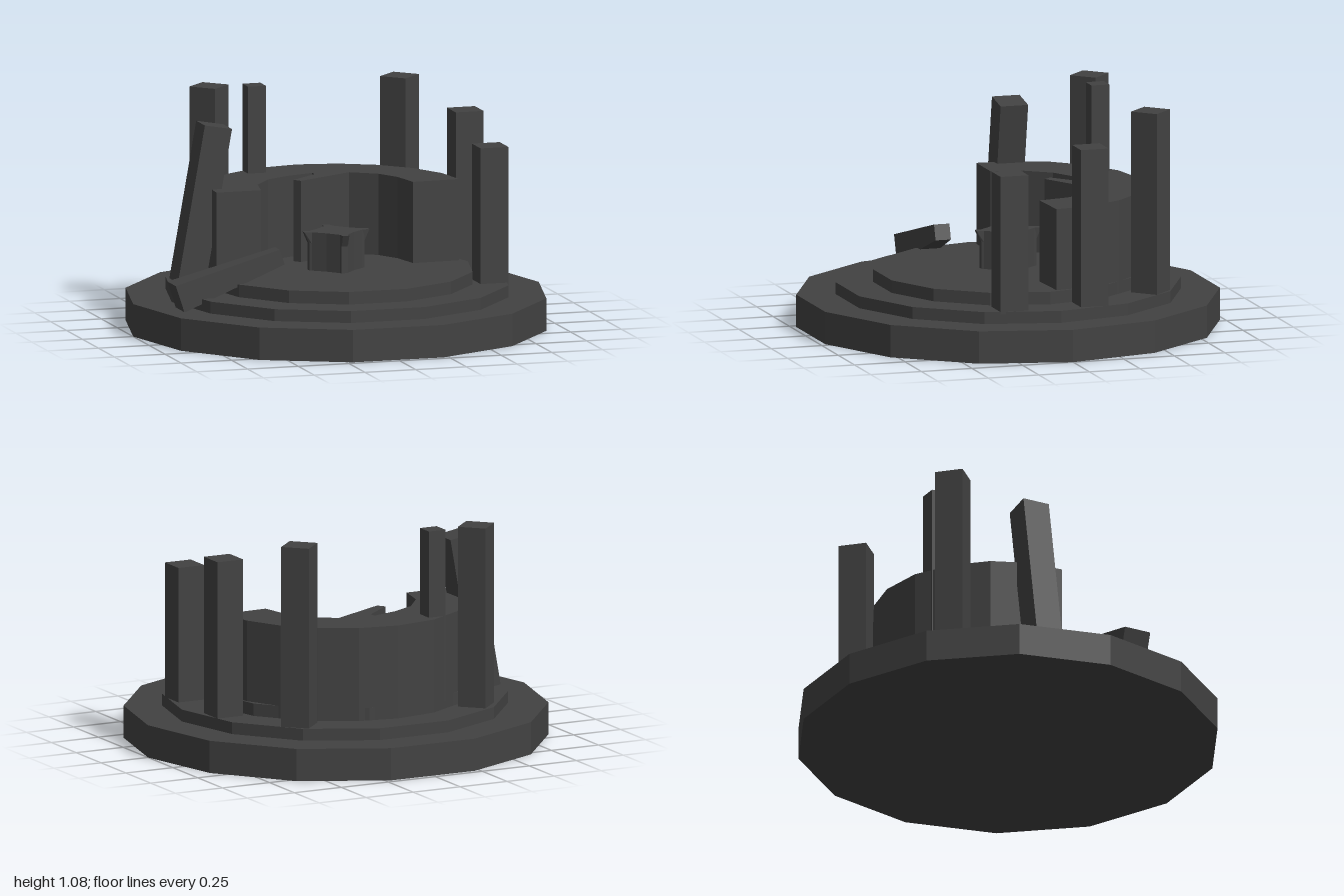
import * as THREE from 'three';

export function createModel() {
  const group = new THREE.Group();
  const stone = new THREE.MeshStandardMaterial({ color: 0x424242, flatShading: true });
  stone.name = 'darkStone';

  const add = (name, geometry, x = 0, y = 0, z = 0) => {
    const mesh = new THREE.Mesh(geometry, stone);
    mesh.name = name;
    mesh.position.set(x, y, z);
    group.add(mesh);
    return mesh;
  };

  // Prism from a plan outline of [x, z] points, rising from y = 0
  const prism = (points, height) => {
    const shape = new THREE.Shape(points.map(([x, z]) => new THREE.Vector2(x, -z)));
    return new THREE.ExtrudeGeometry(shape, { depth: height, bevelEnabled: false }).rotateX(-Math.PI / 2);
  };

  // Stepped fourteen-sided platform
  const tier = (name, radius, bottom, top, x = 0) => {
    const g = new THREE.CylinderGeometry(radius, radius, top - bottom, 14).rotateY(Math.PI / 2);
    add(name, g, x, (bottom + top) / 2, 0);
  };
  tier('platformBase', 1, 0, 0.155);
  tier('platformMiddle', 0.815, 0.15, 0.212, 0.005);
  tier('platformTop', 0.64, 0.2, 0.272, 0.01);

  // Broken curved wall: outer arc, then inner arc with its jagged spur
  const wall = [
    [0.62, -0.04], [0.59, -0.22], [0.5, -0.39], [0.37, -0.52], [0.2, -0.61], [0.01, -0.645],
    [-0.2, -0.61], [-0.38, -0.5], [-0.5, -0.37], [-0.57, -0.2], [-0.58, -0.03],
    [-0.36, -0.03], [-0.33, -0.18], [-0.24, -0.3], [-0.12, -0.365], [0.01, -0.405],
    [0.01, -0.37], [-0.13, -0.25], [-0.105, -0.215], [0.18, -0.37], [0.3, -0.29],
    [0.36, -0.18], [0.39, -0.03],
  ];
  add('brokenWall', prism(wall, 0.45), 0, 0.21, 0);

  // Altar: a diamond with a narrow rib on each corner, flared at the top
  const diamond = (tip) => {
    const points = [];
    for (let i = 0; i < 4; i++) {
      const c = Math.round(Math.cos(i * Math.PI / 2)), s = Math.round(Math.sin(i * Math.PI / 2));
      for (const [x, z] of [[0.125, -0.02], [tip, -0.016], [tip, 0.016], [0.125, 0.02], [0.068, 0.068]]) {
        points.push([x * c - z * s, x * s + z * c]);
      }
    }
    return points;
  };
  add('altarBody', prism(diamond(0.135), 0.17), 0, 0.27, 0);
  const cap = prism(diamond(0.16), 0.055);
  const p = cap.attributes.position;
  for (let i = 0; i < p.count; i++) {
    if (p.getY(i) < 0.01 && Math.hypot(p.getX(i), p.getZ(i)) > 0.14) {
      p.setXYZ(i, p.getX(i) * 0.85, p.getY(i), p.getZ(i) * 0.85);
    }
  }
  add('altarCap', cap, 0, 0.4, 0);

  // Standing pillars: name, x, z, width, bottom, top, turn
  const pillars = [
    ['frontLeftPillar', 0.693, 0.213, 0.137, 0.2, 0.86, 0],
    ['middleLeftPillar', 0.695, -0.183, 0.137, 0.2, 0.965, 0],
    ['backLeftPillar', 0.485, -0.548, 0.136, 0.2, 1.078, Math.PI / 4],
    ['backRightPillar', -0.455, -0.548, 0.136, 0.2, 1.078, Math.PI / 4],
    ['thinPillar', -0.24, -0.52, 0.088, 0.25, 1.075, 0],
  ];
  for (const [name, x, z, width, bottom, top, turn] of pillars) {
    const height = top - bottom;
    add(name, new THREE.BoxGeometry(width, height, width), x, bottom + height / 2, z).rotation.y = turn;
  }

  // Leaning pillar
  add('leaningPillar', new THREE.BoxGeometry(0.136, 0.757, 0.136), -0.609, 0.583, -0.185)
    .rotation.z = -0.176;

  // Fallen pillar, tapering to its raised end
  const fallen = new THREE.BoxGeometry(0.54, 1, 1);
  const f = fallen.attributes.position;
  for (let i = 0; i < f.count; i++) {
    const size = f.getX(i) < 0 ? 0.135 : 0.076;
    f.setXYZ(i, f.getX(i), f.getY(i) * size, f.getZ(i) * size);
  }
  add('fallenPillar', fallen, -0.6, 0.302, 0.213).rotation.z = 0.32;

  return group;
}
